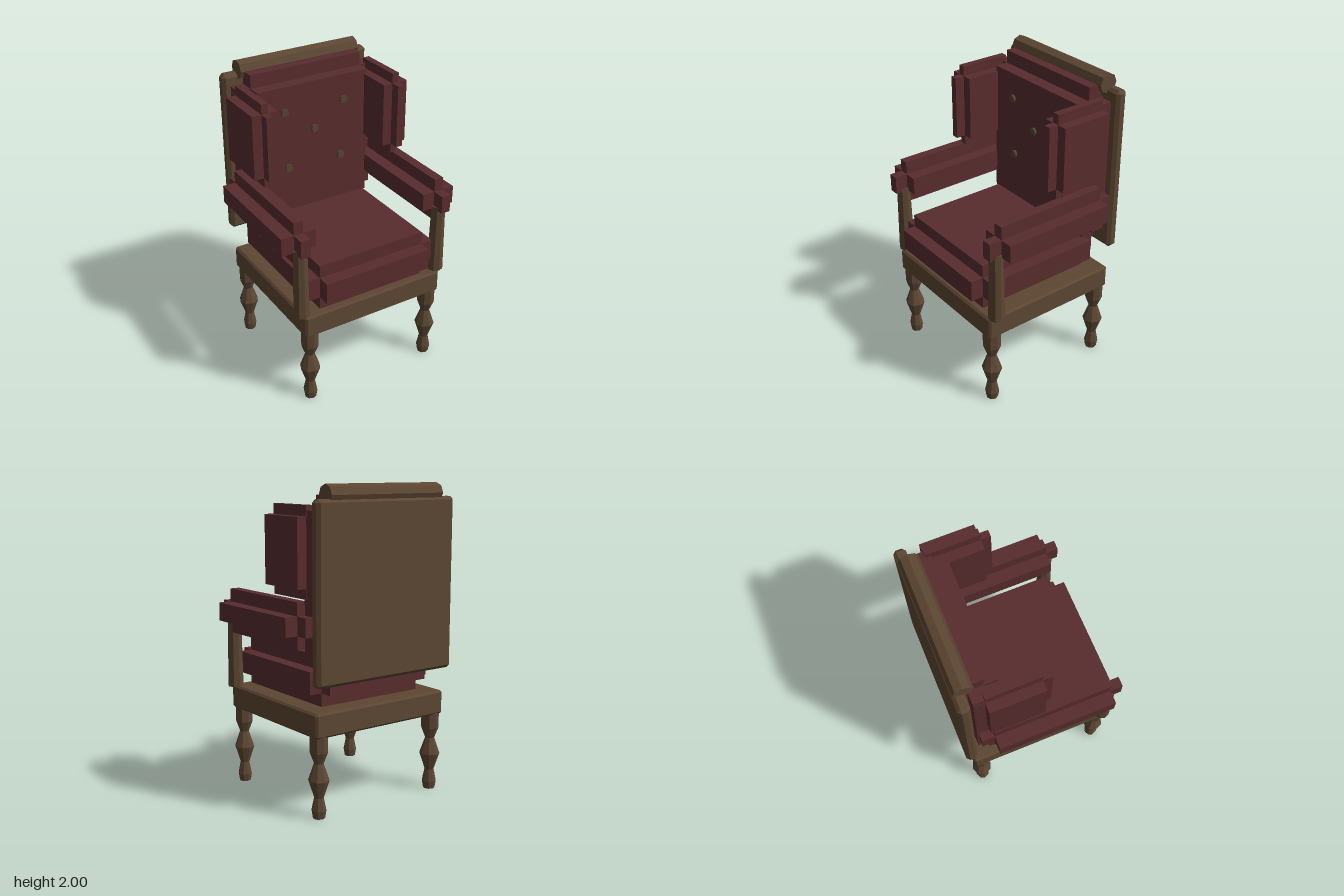
import * as THREE from 'three';
import { ConvexGeometry } from 'three/addons/geometries/ConvexGeometry.js';

const material = (name, color) => {
  const m = new THREE.MeshStandardMaterial({ color, flatShading: true });
  m.name = name;
  return m;
};

export function createModel() {
  const model = new THREE.Group();
  model.name = 'wingArmchair';
  const wood = material('wood', 0x5c4632);
  const leather = material('leather', 0x582c2d);
  const brass = material('agedBrass', 0x54452f);

  const add = (name, geometry, mat, x = 0, y = 0, z = 0, parent = model) => {
    const mesh = new THREE.Mesh(geometry, mat);
    mesh.name = name;
    mesh.position.set(x, y, z);
    parent.add(mesh);
    return mesh;
  };

  // Board with small chamfers along every edge
  const chamferedBox = (w, h, d, c) => {
    const points = [];
    for (const sx of [-1, 1]) for (const sy of [-1, 1]) for (const sz of [-1, 1]) {
      const [x, y, z] = [w / 2, h / 2, d / 2];
      points.push(
        new THREE.Vector3(sx * x, sy * (y - c), sz * (z - c)),
        new THREE.Vector3(sx * (x - c), sy * y, sz * (z - c)),
        new THREE.Vector3(sx * (x - c), sy * (y - c), sz * z));
    }
    return new ConvexGeometry(points);
  };

  // Stepped cushion: a core pushed out by r along each axis in turn
  const cushion = (name, min, max, r) => {
    const group = new THREE.Group();
    group.name = name;
    group.position.set(...min.map((v, i) => (v + max[i]) / 2));
    for (let axis = 0; axis < 3; axis++) {
      const size = min.map((v, i) => max[i] - v - (i === axis ? 0 : 2 * r));
      add(name + 'Block', new THREE.BoxGeometry(...size), leather, 0, 0, 0, group);
    }
    model.add(group);
  };

  // Seat rail, back board and crest roll
  add('seatRail', chamferedBox(1.01, 0.155, 0.972, 0.013), wood, 0, 0.587, 0.006);
  add('backBoard', chamferedBox(1.05, 1.09, 0.076, 0.02), wood, 0, 1.37, -0.491);
  const crest = new THREE.CylinderGeometry(0.063, 0.063, 0.852, 8);
  crest.rotateZ(Math.PI / 2);
  add('crestRoll', crest, wood, 0, 1.937, -0.463);

  // Turned legs
  const legProfile = [[0, 0], [0.038, 0], [0.046, 0.05], [0.03, 0.13], [0.066, 0.24],
    [0.03, 0.345], [0.057, 0.415], [0.057, 0.53], [0, 0.53]]
    .map(([r, y]) => new THREE.Vector2(r, y));
  const leg = new THREE.LatheGeometry(legProfile, 8);
  const post = new THREE.CylinderGeometry(0.044, 0.052, 0.47, 8);

  for (const s of [-1, 1]) {
    const side = s > 0 ? 'left' : 'right';
    add(side + 'FrontLeg', leg, wood, s * 0.449, 0, 0.436);
    add(side + 'BackLeg', leg, wood, s * 0.449, 0, -0.423);
    add(side + 'ArmPost', post, wood, s * 0.505, 0.9, 0.44);

    // Arm pads and wings
    const span = (a, b) => (s > 0 ? [a, b] : [-b, -a]);
    const [a0, a1] = span(0.391, 0.623);
    cushion(side + 'ArmPad', [a0, 1.032, -0.422], [a1, 1.318, 0.512], 0.084);
    const [w0, w1] = span(0.379, 0.553);
    cushion(side + 'Wing', [w0, 1.33, -0.428], [w1, 1.878, 0.044], 0.064);
  }

  // Seat and back cushions
  cushion('seatCushion', [-0.463, 0.667, -0.44], [0.463, 0.978, 0.533], 0.085);
  cushion('backCushion', [-0.485, 0.885, -0.52], [0.485, 1.934, -0.248], 0.087);

  // Tufting buttons
  const button = new THREE.CylinderGeometry(0.026, 0.026, 0.04, 8);
  button.rotateX(Math.PI / 2);
  for (const [x, y] of [[-0.215, 1.68], [0.215, 1.68], [0, 1.525], [-0.195, 1.29], [0.195, 1.29]])
    add('tuftButton', button, brass, x, y, -0.252);

  return model;
}
